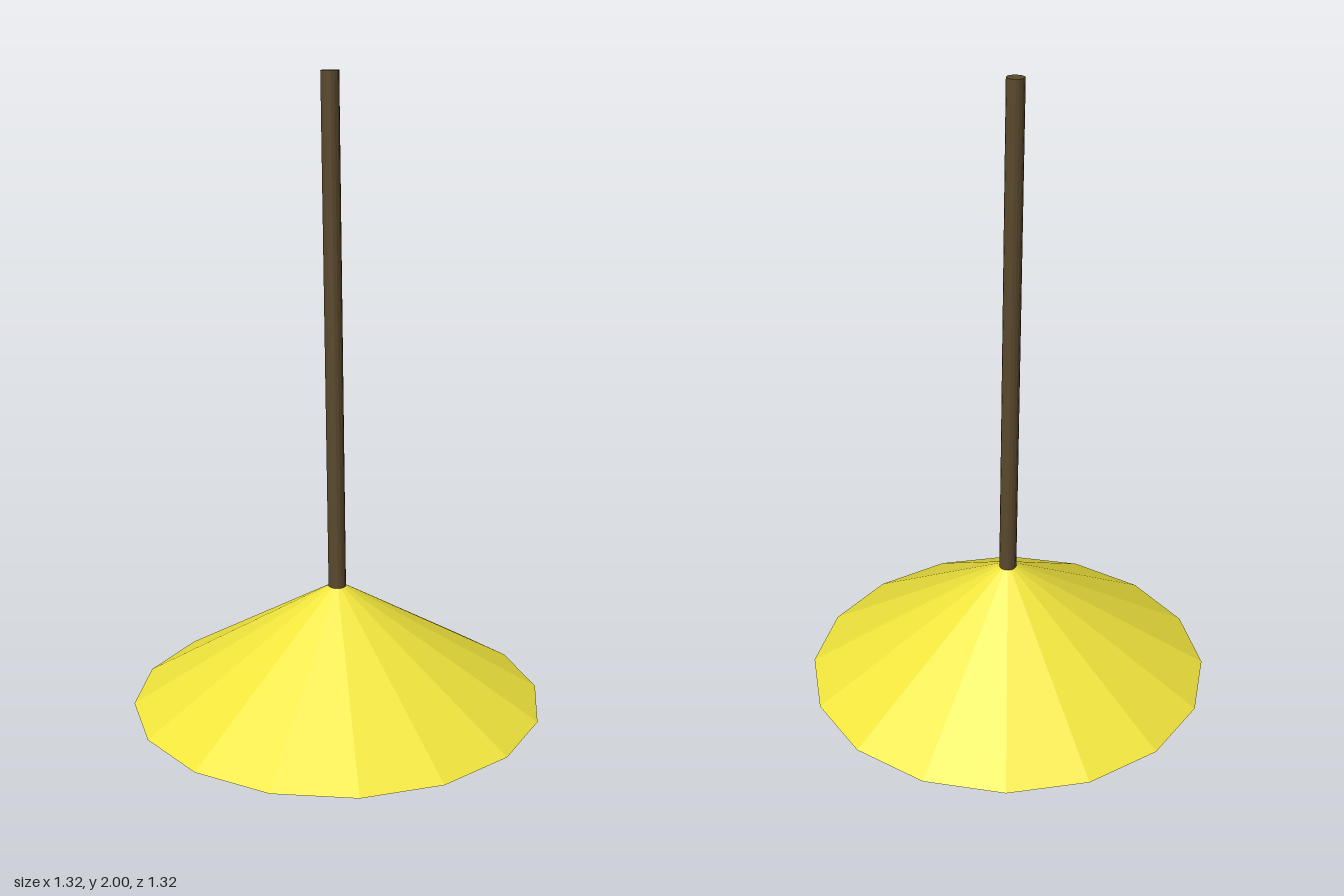
import * as THREE from 'three';

const SIDES = 16;

// Faceted solid of revolution from [radius, height] pairs, running upward on the outside
function lathe(name, profile, sides, color) {
  const points = profile.map(([r, y]) => new THREE.Vector2(r, y));
  const material = new THREE.MeshStandardMaterial({ color, flatShading: true });
  const mesh = new THREE.Mesh(new THREE.LatheGeometry(points, sides), material);
  mesh.name = name;
  return mesh;
}

// Round rod between two points
function rod(name, from, to, radius, color) {
  const axis = to.clone().sub(from);
  const geometry = new THREE.CylinderGeometry(radius, radius, axis.length(), SIDES);
  const mesh = new THREE.Mesh(geometry, new THREE.MeshStandardMaterial({ color, flatShading: true }));
  mesh.position.copy(from).add(to).multiplyScalar(0.5);
  mesh.quaternion.setFromUnitVectors(new THREE.Vector3(0, 1, 0), axis.normalize());
  mesh.name = name;
  return mesh;
}

export function createModel() {
  const lamp = new THREE.Group();
  lamp.name = 'pendantLamp';

  // Hollow conical shade: inner skin, flat rim, outer skin
  lamp.add(lathe('shade', [[0, 0.375], [0.625, 0], [0.66, 0], [0, 0.4]], SIDES, 0xf0e43c));

  // Slightly leaning hanging pole
  lamp.add(rod('pole', new THREE.Vector3(0, 0.383, 0), new THREE.Vector3(-0.02, 2, 0.01), 0.028, 0x5a482c));

  // Squat bulb with its narrow neck, under the peak of the shade
  lamp.add(lathe('bulb', [
    [0, 0.225], [0.032, 0.232], [0.056, 0.252], [0.058, 0.265],
    [0.038, 0.285], [0.018, 0.297], [0.018, 0.37],
  ], 12, 0xcccccc));

  return lamp;
}
